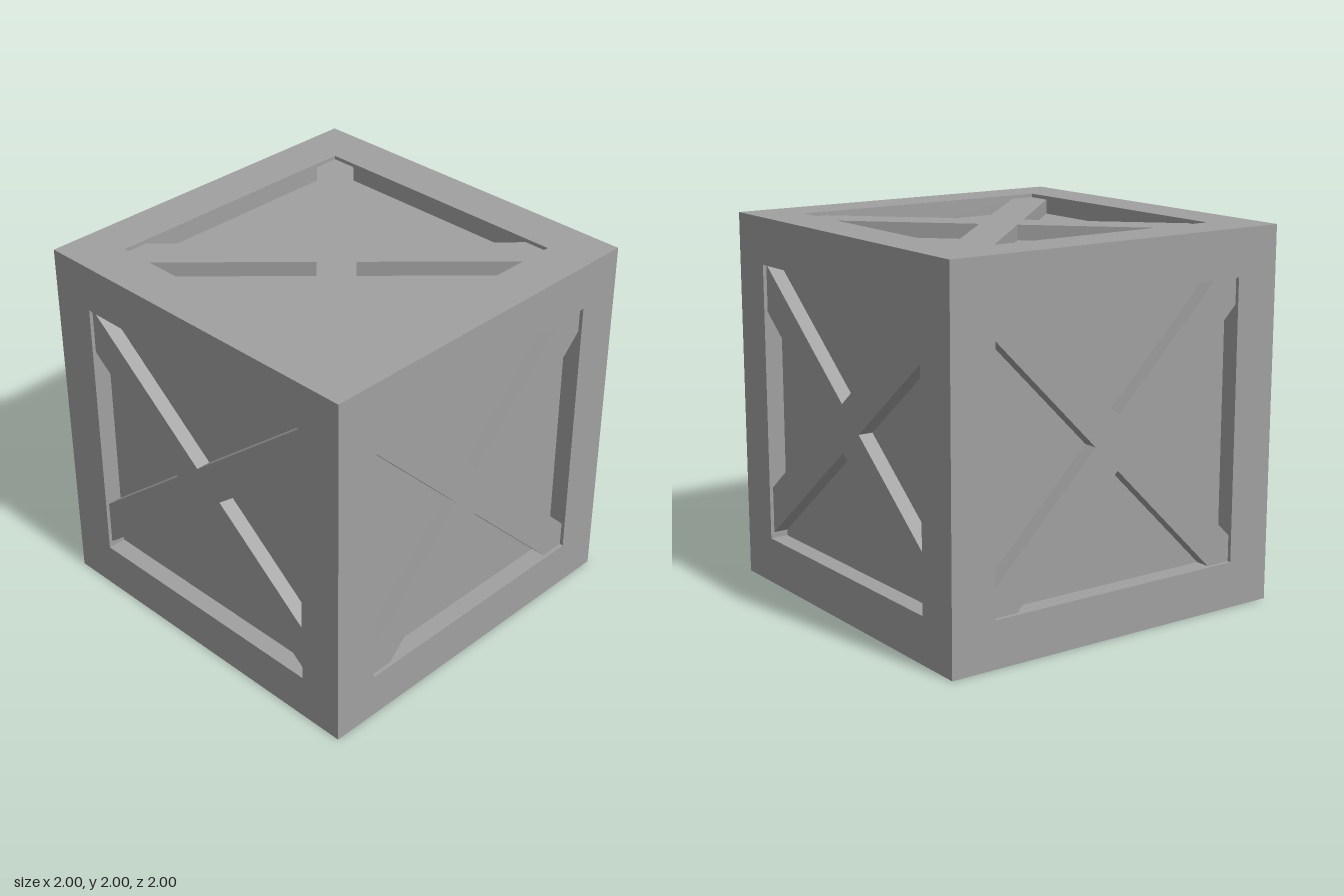
import * as THREE from 'three';

const HALF = 1;          // half the crate size
const BEAM = 0.25;       // frame beam width
const OPEN = HALF - BEAM; // half of each opening
const PANEL = 0.9;       // panel distance from the centre
const BRACE = 0.98;      // outer surface of the braces

// Outline of two crossed planks with edges v = slope * |u| + top / bottom, cut to the opening
function crossShape(slope, top, bottom) {
  const upper = Math.min(OPEN, (OPEN - top) / slope);
  const lower = Math.min(OPEN, (OPEN + bottom) / slope);
  const right = [
    [upper, slope * upper + top],
    [OPEN, OPEN],
    [OPEN, slope * OPEN + bottom],
    [(top - bottom) / (2 * slope), (top + bottom) / 2],
    [OPEN, -slope * OPEN + top],
  ];
  if (lower < OPEN) right.push([OPEN, -OPEN]);
  right.push([lower, -slope * lower + bottom]);
  if (upper > OPEN - 0.001) right.splice(1, 1);
  const left = right.map(([u, v]) => [-u, v]).reverse();
  const outline = [[0, top], ...right, [0, bottom], ...left];
  return new THREE.Shape(outline.map(([u, v]) => new THREE.Vector2(u, v)));
}

export function createModel() {
  const model = new THREE.Group();
  model.name = 'crate';
  const grey = new THREE.MeshStandardMaterial({ color: 0xa0a0a0 });
  grey.name = 'grey';

  const body = new THREE.Group();
  body.name = 'body';
  body.position.y = HALF;
  model.add(body);

  const add = (geometry, name) => {
    const mesh = new THREE.Mesh(geometry, grey);
    mesh.name = name;
    body.add(mesh);
    return mesh;
  };

  // Recessed panels, all six sides of one inner box
  add(new THREE.BoxGeometry(2 * PANEL, 2 * PANEL, 2 * PANEL), 'panels');

  // Frame: four posts and eight rails
  const c = HALF - BEAM / 2;
  for (const a of [-c, c]) {
    for (const b of [-c, c]) {
      add(new THREE.BoxGeometry(BEAM, 2 * HALF, BEAM), 'post').position.set(a, 0, b);
      add(new THREE.BoxGeometry(2 * OPEN, BEAM, BEAM), 'crossRail').position.set(0, a, b);
      add(new THREE.BoxGeometry(BEAM, BEAM, 2 * OPEN), 'sideRail').position.set(a, b, 0);
    }
  }

  // Crossed braces on every side
  const extrude = (shape) =>
    new THREE.ExtrudeGeometry(shape, { depth: BRACE - PANEL, bevelEnabled: false }).translate(0, 0, PANEL);
  const even = extrude(crossShape(1, 0.14, -0.14));
  const skewed = extrude(crossShape(0.81, 0.1425, -0.11));
  const q = Math.PI / 2;
  const sides = [
    ['frontBrace', even, 0, 0],
    ['backBrace', even, 0, 2 * q],
    ['topBrace', even, -q, 0],
    ['bottomBrace', even, q, 0],
    ['leftBrace', skewed, 0, q],
    ['rightBrace', skewed, 0, -q],
  ];
  for (const [name, geometry, rx, ry] of sides) add(geometry, name).rotation.set(rx, ry, 0);

  return model;
}
